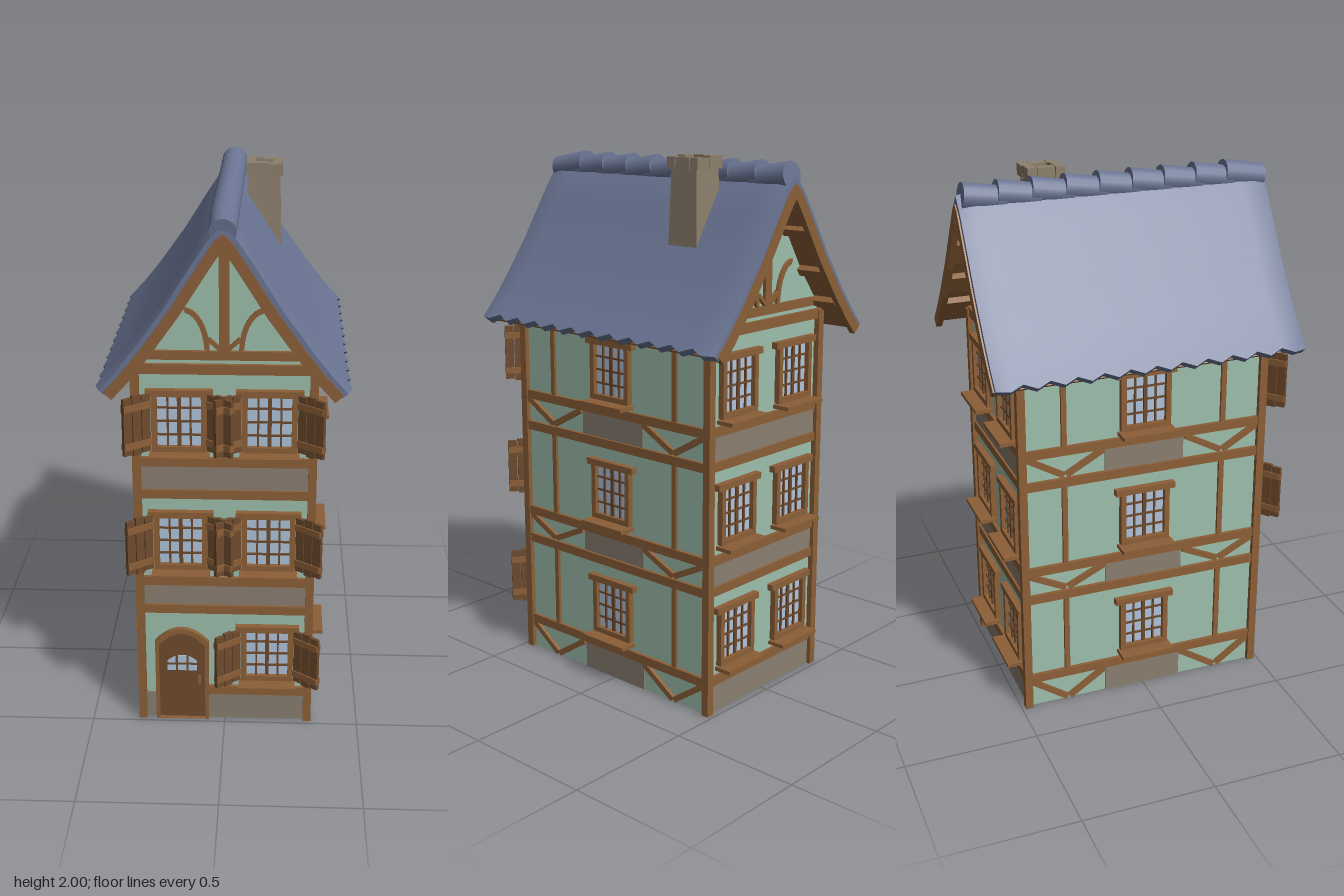
import * as THREE from 'three';
import { toCreasedNormals } from 'three/addons/utils/BufferGeometryUtils.js';

const mat = (name, color, side = THREE.FrontSide) => {
  const m = new THREE.MeshStandardMaterial({ color, side });
  m.name = name;
  return m;
};

export function createModel() {
  const plaster = mat('mint plaster', 0x9dbfac, THREE.DoubleSide);
  const stone = mat('grey stone', 0x8a7e70);
  const timber = mat('timber', 0x8c5f37);
  const wood = mat('dark wood', 0x6e4a2d);
  const glass = mat('pale glass', 0xb0c4dc);
  const slate = mat('blue slate', 0x6b7594);
  const chimneyStone = mat('chimney stone', 0x8d7f6c, THREE.DoubleSide);

  const house = new THREE.Group();
  house.name = 'house';

  const add = (parent, name, geo, m, x = 0, y = 0, z = 0) => {
    const mesh = new THREE.Mesh(geo, m);
    mesh.name = name;
    mesh.position.set(x, y, z);
    parent.add(mesh);
    return mesh;
  };
  const box = (parent, name, m, w, h, d, x, y, z = 0, rz = 0) => {
    const b = add(parent, name, new THREE.BoxGeometry(w, h, d), m, x, y, z);
    b.rotation.z = rz;
    return b;
  };
  const group = (parent, name, x = 0, y = 0, z = 0, ry = 0) => {
    const g = new THREE.Group();
    g.name = name;
    g.position.set(x, y, z);
    g.rotation.y = ry;
    parent.add(g);
    return g;
  };
  const extrude = (shape, depth, steps = 1) => {
    const g = new THREE.ExtrudeGeometry(shape, { depth, steps, bevelEnabled: false, curveSegments: 10 });
    return g.translate(0, 0, -depth / 2);
  };
  // straight timber between two points of a wall
  const brace = (parent, name, x1, y1, x2, y2, w, d = 0.02) =>
    box(parent, name, timber, Math.hypot(x2 - x1, y2 - y1), w, d,
      (x1 + x2) / 2, (y1 + y2) / 2, 0.004, Math.atan2(y2 - y1, x2 - x1));

  // one opened plank shutter, hinged at the window side
  const shutter = (parent, s) => {
    const g = group(parent, 'shutter', s * 0.1, 0, 0.02, -s * 0.65);
    for (let i = 0; i < 3; i++) {
      box(g, 'shutterPlank', wood, 0.034, 0.21 + (i % 2) * 0.012, 0.014, s * (0.02 + i * 0.037), 0.006, 0);
    }
    for (const y of [-0.065, 0.075]) box(g, 'shutterBatten', timber, 0.108, 0.024, 0.024, s * 0.057, y, 0);
  };

  // window with frame, bars, lintel and sill
  const addWindow = (face, x, y, shutters) => {
    const g = group(face, 'window', x, y, 0);
    box(g, 'glass', glass, 0.17, 0.2, 0.008, 0, 0);
    for (const s of [-1, 1]) {
      box(g, 'windowJamb', timber, 0.02, 0.21, 0.044, s * 0.087, 0);
      if (shutters) shutter(g, s);
    }
    box(g, 'lintel', timber, 0.235, 0.024, 0.05, 0, 0.112);
    box(g, 'lowerRail', timber, 0.19, 0.02, 0.044, 0, -0.097);
    box(g, 'sill', timber, 0.21, 0.014, 0.09, 0, -0.117, 0.025);
    for (const i of [-1, 0, 1]) {
      box(g, 'verticalBar', wood, i ? 0.007 : 0.014, 0.19, 0.022, i * 0.04, 0);
      box(g, 'crossBar', wood, 0.16, 0.007, 0.02, 0, i * 0.05 + 0.005);
    }
  };

  const floors = [0.283, 0.748, 1.212];
  const beams = [0.125, 0.472, 0.588, 0.938, 1.063];
  const bands = [[0, 0.107], [0.49, 0.57], [0.955, 1.046]];

  // arched outline for the doorway
  const arch = (C, hw, y0, side, top) => {
    const s = new C();
    s.moveTo(-hw, y0);
    s.lineTo(hw, y0);
    s.lineTo(hw, side);
    s.quadraticCurveTo(0, 2 * top - side, -hw, side);
    s.closePath();
    return s;
  };

  // gabled end walls
  for (const front of [true, false]) {
    const face = group(house, front ? 'frontWall' : 'backWall', 0, 0, front ? 0.465 : -0.465, front ? 0 : Math.PI);
    const wall = new THREE.Shape([[-0.308, 0], [0.308, 0], [0.308, 1.45], [0.2, 1.59], [0.1, 1.75], [0, 1.88],
      [-0.1, 1.75], [-0.2, 1.59], [-0.308, 1.45]].map(p => new THREE.Vector2(...p)));
    if (front) {
      wall.holes.push(new THREE.Path([[-0.25, 0.002], [-0.07, 0.002], [-0.07, 0.32], [-0.16, 0.37], [-0.25, 0.32]]
        .map(p => new THREE.Vector2(...p))));
    }
    add(face, 'endPlaster', new THREE.ShapeGeometry(wall), plaster);

    // stone bands and floor beams, split around the door on the ground floor
    const spans = i => (front && i === 0 ? [[-0.3, -0.26], [-0.06, 0.3]] : [[-0.3, 0.3]]);
    bands.forEach(([a, b], i) => spans(i).forEach(([l, r]) =>
      box(face, 'stoneBand', stone, r - l, b - a, 0.012, (l + r) / 2, (a + b) / 2)));
    beams.forEach((y, i) => spans(i).slice(-1).forEach(([l, r]) =>
      box(face, 'floorBeam', timber, r - l, 0.034, 0.028, (l + r) / 2, y)));
    floors.forEach((y, i) => [-0.158, 0.158].forEach(x => {
      if (!(front && i === 0 && x < 0)) addWindow(face, x, y, front);
    }));

    // gable framing with curved braces
    box(face, 'gableTieBeam', timber, 0.64, 0.036, 0.03, 0, 1.41);
    box(face, 'gableBeam', timber, 0.54, 0.032, 0.026, 0, 1.46);
    box(face, 'kingPost', timber, 0.036, 0.42, 0.026, 0, 1.655);
    for (const s of [-1, 1]) {
      const pts = [];
      for (let i = 0; i <= 16; i++) {
        const k = i <= 8 ? i : 17 - i - 0.5, r = i <= 8 ? 0 : 0.018;
        const a = Math.min(k, 8) / 8 * Math.PI / 2;
        pts.push(new THREE.Vector2(s * (0.14 - (0.09 - r) * Math.cos(a)), 1.47 + (0.16 - r) * Math.sin(a)));
      }
      add(face, 'curvedBrace', extrude(new THREE.Shape(pts), 0.024), timber);
      brace(face, 'shortBrace', s * 0.012, 1.48, s * 0.055, 1.52, 0.014);
    }
  }

  // long side walls
  for (const s of [-1, 1]) {
    const face = group(house, s > 0 ? 'leftWall' : 'rightWall', s * 0.308, 0, 0, s * Math.PI / 2);
    add(face, 'sidePlaster', new THREE.PlaneGeometry(0.93, 1.45), plaster, 0, 0.725, 0);
    for (const y of [...beams, 1.36]) box(face, 'floorBeam', timber, 0.92, 0.034, 0.028, 0, y);
    for (const [a, b] of bands) {
      box(face, 'stonePanel', stone, 0.31, b - a, 0.01, 0, (a + b) / 2);
      for (const m of [-1, 1]) {
        brace(face, 'diagonalBrace', m * 0.45, b, m * 0.315, a + 0.012, 0.022);
        brace(face, 'diagonalBrace', m * 0.16, b, m * 0.305, a + 0.012, 0.022);
      }
    }
    for (const [a, b] of [[0.14, 0.46], [0.6, 0.925], [1.08, 1.36]]) {
      for (const m of [-1, 1]) box(face, 'stud', timber, 0.02, b - a, 0.022, m * 0.312, (a + b) / 2);
    }
    for (const y of floors) addWindow(face, 0, y, false);
    for (const z of [-1, 1]) box(house, 'cornerPost', timber, 0.03, 1.42, 0.03, s * 0.311, 0.71, z * 0.471);
  }

  // arched door
  const door = group(house, 'door', -0.16, 0, 0.465);
  const frame = arch(THREE.Shape, 0.1, 0, 0.335, 0.39);
  frame.holes.push(arch(THREE.Path, 0.086, 0.001, 0.32, 0.37));
  add(door, 'doorFrame', extrude(frame, 0.04), timber);
  add(door, 'doorLeaf', extrude(arch(THREE.Shape, 0.087, 0.005, 0.32, 0.37), 0.02), wood);
  add(door, 'doorGlass', extrude(arch(THREE.Shape, 0.055, 0.21, 0.25, 0.275), 0.028), glass);
  for (const x of [-0.02, 0.02]) box(door, 'doorBar', wood, 0.008, 0.07, 0.034, x, 0.243);
  box(door, 'doorBar', wood, 0.11, 0.007, 0.034, 0, 0.24);
  box(door, 'doorHandle', timber, 0.01, 0.03, 0.04, 0.065, 0.17);

  // flared roof outline; t is the depth below the outer surface
  const profile = [[0, 1.955], [0.05, 1.9], [0.1, 1.825], [0.2, 1.667], [0.3, 1.528], [0.37, 1.44], [0.425, 1.38]];
  const layer = t => profile.map(([x, y], i) => {
    if (i === 0) return [0, y - t * 1.75];
    const a = profile[i - 1], b = profile[Math.min(i + 1, profile.length - 1)];
    const l = Math.hypot(b[0] - a[0], b[1] - a[1]);
    return [x + t * (b[1] - a[1]) / l, y - t * (b[0] - a[0]) / l];
  });
  const chevron = (t0, t1) => {
    const mirror = p => p.slice(1).reverse().map(([x, y]) => [-x, y]);
    const top = layer(t0), low = layer(t1);
    const pts = [...mirror(top), ...top, ...low.slice().reverse(), ...mirror(low).reverse()];
    return new THREE.Shape(pts.map(p => new THREE.Vector2(...p)));
  };

  // slate covering with toothed eaves and dropped ends
  const roofGeo = extrude(chevron(0, 0.028), 1.17, 24);
  const p = roofGeo.attributes.position;
  for (let i = 0; i < p.count; i++) {
    const x = p.getX(i), z = p.getZ(i);
    if (Math.abs(x) > 0.39) {
      const k = Math.round((z + 0.585) / 0.04875) % 2 ? 0.012 : -0.004;
      p.setX(i, x + Math.sign(x) * k);
      p.setY(i, p.getY(i) - k);
    }
    if (Math.abs(z) > 0.58) p.setY(i, p.getY(i) - 0.015);
  }
  add(house, 'slateRoof', toCreasedNormals(roofGeo, 0.5), slate);
  add(house, 'roofBoards', extrude(chevron(0.029, 0.04), 1.13), timber);
  for (const s of [-1, 1]) {
    add(house, 'bargeboard', extrude(chevron(0.026, 0.064), 0.022), timber, 0, 0, s * 0.58);
    for (const [x, y, a] of [[0.1, 1.735, 1], [0.2, 1.582, 0.95], [0.29, 1.46, 0.88]]) {
      box(house, 'purlin', timber, 0.03, 0.03, 1.14, s * x, y, 0, -s * a);
    }
  }

  // overlapping ridge tiles, each raised toward the back
  for (let i = 0; i < 9; i++) {
    const geo = new THREE.CylinderGeometry(0.05, 0.046, 0.16, 16).rotateX(-Math.PI / 2);
    const tile = add(house, 'ridgeTile', geo, slate, 0, 1.926, 0.505 - i * 0.1243);
    tile.rotation.x = 0.14;
  }

  // hollow chimney with a ring of cap stones
  const chimney = group(house, 'chimney', 0.123, 0, -0.235);
  const shaft = new THREE.CylinderGeometry(0.058 * Math.SQRT2, 0.068 * Math.SQRT2, 0.35, 4, 1, true);
  shaft.rotateY(Math.PI / 4);
  add(chimney, 'chimneyShaft', toCreasedNormals(shaft, 0.5), chimneyStone, 0, 1.8, 0);
  [[-0.033, -0.052, 0.066, 0.036], [0.035, -0.052, 0.064, 0.036], [-0.05, 0, 0.036, 0.064],
    [0.05, 0, 0.036, 0.064], [-0.026, 0.053, 0.08, 0.036], [0.042, 0.053, 0.052, 0.036]].forEach(([x, z, w, d], i) => {
    box(chimney, 'capStone', chimneyStone, w, 0.044, d, x, 1.976 - (i % 2) * 0.005, z, i % 2 ? 0.04 : 0);
  });

  return house;
}
